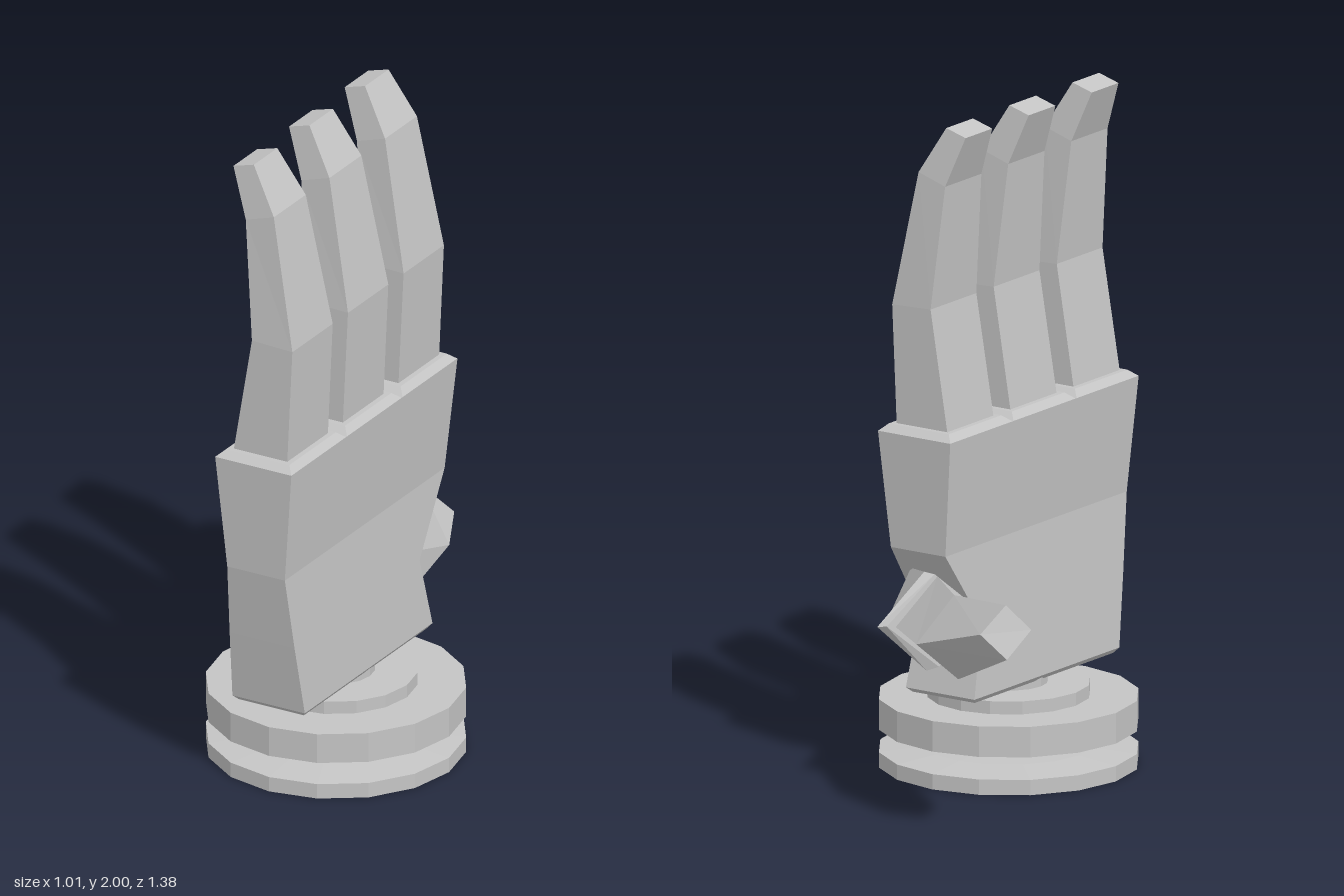
import * as THREE from 'three';

const grey = new THREE.MeshStandardMaterial({ color: 0xc4c4c4 });
grey.name = 'grey';

// Flat-faced mesh
function flatMesh(name, geometry) {
  const geo = geometry.index ? geometry.toNonIndexed() : geometry;
  geo.computeVertexNormals();
  const mesh = new THREE.Mesh(geo, grey);
  mesh.name = name;
  return mesh;
}

// Closed solid through four-cornered rings
function loft(name, rings) {
  const tris = [];
  const quad = (a, b, c, d) => tris.push([a, b, c], [a, c, d]);
  for (let i = 0; i < rings.length - 1; i++) {
    for (let j = 0; j < 4; j++) {
      const k = (j + 1) % 4;
      quad(rings[i][j], rings[i][k], rings[i + 1][k], rings[i + 1][j]);
    }
  }
  quad(...[...rings[0]].reverse());
  quad(...rings[rings.length - 1]);

  // Turn the faces outward whichever way the rings wind
  const v = tris.map((t) => t.map((p) => new THREE.Vector3(...p)));
  const volume = v.reduce((s, [a, b, c]) => s + a.dot(b.clone().cross(c)), 0);
  if (volume < 0) v.forEach((t) => t.reverse());
  return flatMesh(name, new THREE.BufferGeometry().setFromPoints(v.flat()));
}

// Level rectangle in x and z
const rect = (y, x0, x1, z0, z1) => [[x0, y, z0], [x1, y, z0], [x1, y, z1], [x0, y, z1]];

export function createModel() {
  const hand = new THREE.Group();
  hand.name = 'mechanicalHand';

  // Round wrist stand: two discs, a neck between them and a small step on top
  const profile = [
    [0, 0], [0.383, 0], [0.383, 0.046], [0.25, 0.058], [0.17, 0.06], [0.17, 0.068],
    [0.207, 0.068], [0.207, 0.104], [0.25, 0.104], [0.383, 0.114], [0.383, 0.206],
    [0.24, 0.206], [0.24, 0.245], [0.115, 0.245], [0.115, 0.28], [0, 0.28],
  ].map(([r, y]) => new THREE.Vector2(r, y));
  const base = flatMesh('wristStand', new THREE.LatheGeometry(profile, 16));
  base.position.set(0.122, 0, 0.215);
  hand.add(base);

  // Palm with a notch on the thumb side
  hand.add(loft('palm', [
    rect(0.265, 0.012, 0.233, -0.11, 0.585),
    rect(0.28, 0, 0.245, -0.128, 0.6),
    rect(0.5, 0.013, 0.233, -0.075, 0.638),
    rect(0.73, 0.027, 0.222, -0.236, 0.675),
    rect(1.08, -0.005, 0.253, -0.257, 0.69),
  ]));

  // Three fingers, each on a bevelled knuckle pad
  [-0.1, 0.217, 0.534].forEach((z, i) => {
    const finger = new THREE.Group();
    finger.name = 'finger' + (i + 1);
    finger.add(loft('knucklePad', [
      rect(1.08, -0.005, 0.253, -0.156, 0.156),
      rect(1.1, 0.018, 0.232, -0.132, 0.132),
    ]));
    // Each section: inner x, inner y, outer x, outer y, half width
    const sections = [
      [0.033, 1.09, 0.215, 1.09, 0.116],
      [0.095, 1.46, 0.232, 1.455, 0.115],
      [0.06, 1.83, 0.155, 1.86, 0.091],
      [0.004, 1.98, 0.073, 2, 0.067],
    ];
    finger.add(loft('fingerBody', sections.map(([x0, y0, x1, y1, w]) =>
      [[x0, y0, -w], [x1, y1, -w], [x1, y1, w], [x0, y0, w]])));
    finger.position.z = z;
    hand.add(finger);
  });

  // Thumb reaching sideways from the notch
  const thumb = new THREE.Group();
  thumb.name = 'thumb';
  thumb.add(loft('thumbBody', [
    [[-0.015, 0.55, -0.13], [0.06, 0.665, -0.23], [0.12, 0.53, -0.355], [0.03, 0.41, -0.235]],
    [[-0.22, 0.565, -0.34], [-0.135, 0.68, -0.42], [-0.085, 0.55, -0.54], [-0.175, 0.44, -0.455]],
    [[-0.51, 0.663, -0.56], [-0.455, 0.74, -0.61], [-0.42, 0.663, -0.69], [-0.48, 0.585, -0.64]],
  ]));
  thumb.add(loft('thumbKnuckle', [
    [[-0.015, 0.55, -0.12], [0.07, 0.67, -0.23], [0.145, 0.53, -0.365], [0.04, 0.4, -0.25]],
    [[0.01, 0.55, -0.11], [0.1, 0.675, -0.24], [0.175, 0.525, -0.37], [0.07, 0.388, -0.27]],
    [[0.15, 0.5, -0.07], [0.19, 0.66, -0.18], [0.253, 0.5, -0.21], [0.2, 0.41, -0.15]],
  ]));
  hand.add(thumb);

  return hand;
}
